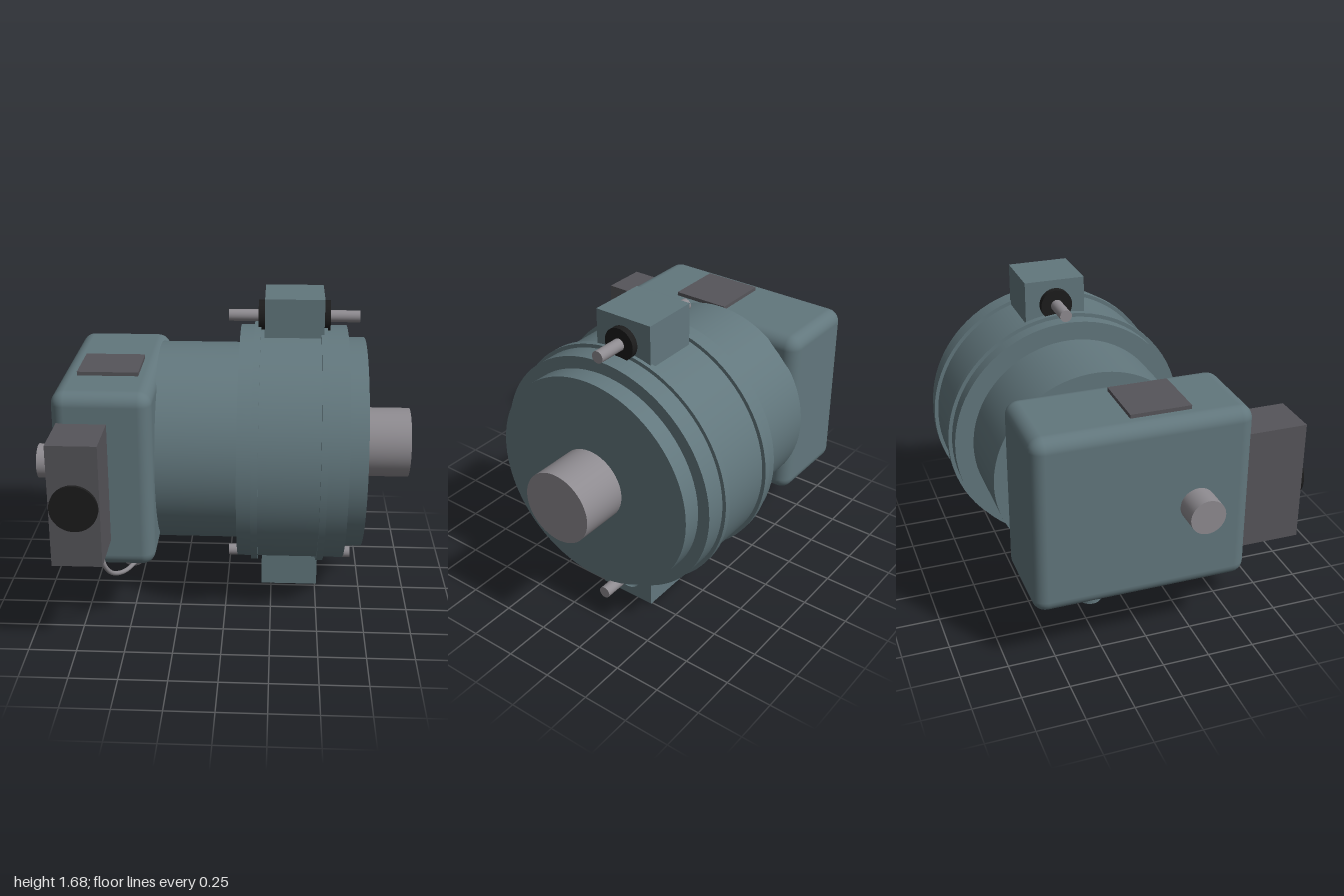
import * as THREE from 'three';
import { RoundedBoxGeometry } from 'three/addons/geometries/RoundedBoxGeometry.js';

const CY = 0.84, CZ = -0.145; // main axis, running along x
const LUG_Z = -0.18;

const paint = (color) => new THREE.MeshStandardMaterial({ color });
const casing = paint(0x62777d);
const steel = paint(0x8e8b90);
const dark = paint(0x56555a);
const rubber = paint(0x1c1c1c);

export function createModel() {
  const model = new THREE.Group();

  const add = (name, geometry, material, x = 0, y = 0, z = 0) => {
    const mesh = new THREE.Mesh(geometry, material);
    mesh.name = name;
    mesh.position.set(x, y, z);
    model.add(mesh);
    return mesh;
  };
  // box given by its extents on each axis
  const box = (name, material, [x0, x1], [y0, y1], [z0, z1]) =>
    add(name, new THREE.BoxGeometry(x1 - x0, y1 - y0, z1 - z0), material,
      (x0 + x1) / 2, (y0 + y1) / 2, (z0 + z1) / 2);
  // cylinder along x between two ends
  const rod = (name, material, r, x0, x1, y, z, sides = 64) =>
    add(name, new THREE.CylinderGeometry(r, r, x1 - x0, sides), material, (x0 + x1) / 2, y, z)
      .rotateZ(-Math.PI / 2);
  // cylinder along z between two ends
  const rodZ = (name, material, r, z0, z1, x, y) =>
    add(name, new THREE.CylinderGeometry(r, r, z1 - z0, 40), material, x, y, (z0 + z1) / 2)
      .rotateX(Math.PI / 2);

  // Stepped drum and output shaft
  rod('rearDrum', casing, 0.545, -0.37, 0.07, CY, CZ, 80);
  rod('mainDrum', casing, 0.645, 0.065, 0.64, CY, CZ, 80);
  rod('endCover', casing, 0.58, 0.63, 0.74, CY, CZ, 80);
  rod('outputShaft', steel, 0.192, 0.73, 1, CY, CZ);
  for (const x of [0.1575, 0.5125])
    rod('drumRib', casing, 0.665, x - 0.0175, x + 0.0175, CY, CZ, 80);

  // Gear housing with its small shaft, lid and drain plug
  add('gearHousing', new RoundedBoxGeometry(0.51, 0.96, 1.13, 4, 0.07), casing, -0.615, CY, -0.065);
  rod('inputShaft', steel, 0.092, -1, -0.86, CY, 0.21, 40);
  box('topPlate', dark, [-0.775, -0.455], [1.31, 1.34], [-0.115, 0.2]);
  add('drainPlug', new THREE.CylinderGeometry(0.057, 0.057, 0.02, 32), casing, -0.775, 0.355, -0.32);

  // Terminal box with a round cap on its front
  box('terminalBox', dark, [-0.84, -0.585], [0.52, 1.165], [0.48, 0.795]);
  rodZ('terminalCap', rubber, 0.122, 0.78, 0.812, -0.713, CY);

  // Canister below the housing, its bracket and cable
  rodZ('canister', dark, 0.07, -0.22, 0.145, -0.52, 0.25);
  box('canisterBracket', dark, [-0.555, -0.487], [0.29, 0.37], [-0.1, 0.03]);
  const cablePath = new THREE.CatmullRomCurve3([
    [-0.615, 0.53, 0.645], [-0.605, 0.45, 0.635], [-0.58, 0.37, 0.575],
    [-0.54, 0.3, 0.44], [-0.505, 0.265, 0.29], [-0.48, 0.25, 0.13],
  ].map((p) => new THREE.Vector3(...p)));
  add('cable', new THREE.TubeGeometry(cablePath, 40, 0.012, 10), steel);

  // Mounting lugs: bored blocks above and below the drum, each with a pin
  const lugShape = new THREE.Shape();
  lugShape.moveTo(-0.162, -0.13).lineTo(0.162, -0.13).lineTo(0.162, 0.13)
    .lineTo(-0.162, 0.13).closePath();
  const bore = new THREE.Path();
  bore.absarc(0, 0, 0.085, 0, Math.PI * 2, true);
  lugShape.holes.push(bore);
  const lugGeometry = new THREE.ExtrudeGeometry(lugShape, { depth: 0.315, bevelEnabled: false, curveSegments: 32 });
  lugGeometry.translate(0, 0, -0.1575).rotateY(Math.PI / 2);
  for (const [side, y] of [['upper', 1.55], ['lower', 0.13]]) {
    add(side + 'Lug', lugGeometry, casing, 0.3525, y, LUG_Z);
    rod(side + 'Pin', steel, 0.032, 0, 0.705, y, LUG_Z, 24);
  }
  rod('upperBushing', rubber, 0.085, 0.16, 0.545, 1.55, LUG_Z, 40);

  return model;
}
